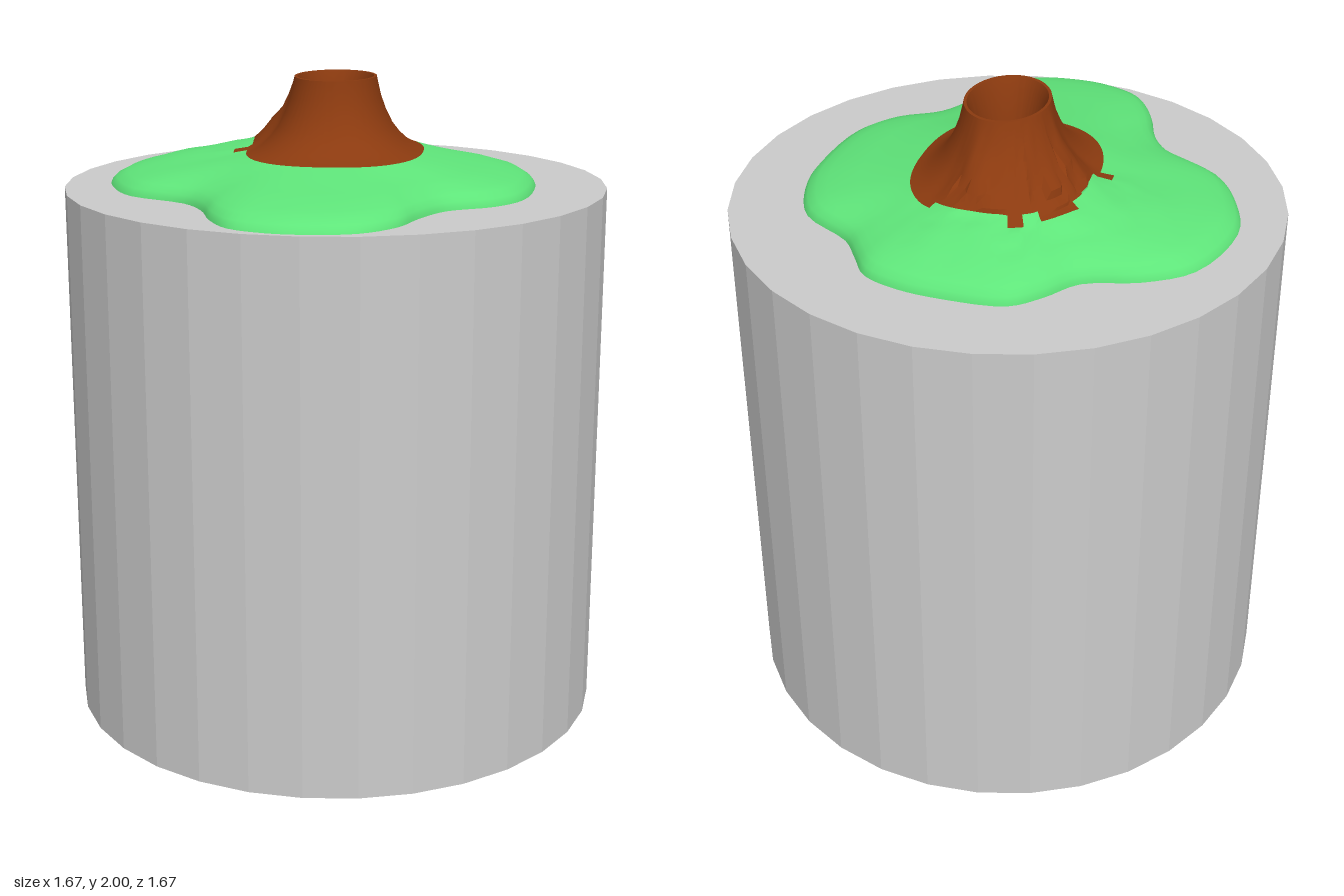
import * as THREE from 'three';
import { toCreasedNormals } from 'three/addons/utils/BufferGeometryUtils.js';

const TOP = 1.67, COLS = 112;

// Shoreline seen from above, as x, z pairs running from the front towards +x
const SHORE = [
  [0, 0.81], [0.15, 0.78], [0.25, 0.68], [0.3, 0.55], [0.37, 0.43], [0.5, 0.35], [0.58, 0.24],
  [0.615, 0], [0.6, -0.13], [0.53, -0.28], [0.37, -0.38], [0.31, -0.46], [0.25, -0.54], [0.14, -0.58],
  [0, -0.59], [-0.18, -0.57], [-0.26, -0.5], [-0.34, -0.4], [-0.5, -0.34], [-0.63, -0.24], [-0.7, 0],
  [-0.66, 0.17], [-0.58, 0.3], [-0.4, 0.4], [-0.33, 0.5], [-0.28, 0.64], [-0.21, 0.75], [-0.1, 0.8],
];
// Slope from shore (0) to the foot of the cone (1): fraction, height
const SLOPE = [[0, TOP], [0.012, 1.68], [0.04, 1.692], [0.12, 1.709], [0.22, 1.718], [0.35, 1.73],
  [0.5, 1.739], [0.65, 1.748], [0.78, 1.757], [0.9, 1.765], [1, 1.772]];
// Cone from its foot (0) to the rim (1)
const CONE = [[0.15, 1.781], [0.32, 1.797], [0.5, 1.822], [0.66, 1.853], [0.8, 1.895], [0.91, 1.94], [0.98, 1.985], [1, 2]];
// Crater wall: scale of the rim, height
const CRATER = [[0.93, 2], [0.84, 1.97], [0.72, 1.9], [0.61, 1.82], [0.58, 1.76], [0.58, TOP]];

// Small seeded noise from 0 to 1
function noise(a, b) {
  const s = Math.sin(a * 12.9898 + b * 78.233) * 43758.5453;
  return s - Math.floor(s);
}

// Radius of a rounded oval in the direction (x, z)
function oval(x, z, a, b, power) {
  return Math.pow(Math.pow(Math.abs(x) / a, power) + Math.pow(Math.abs(z) / b, power), -1 / power);
}

// How rocky the ground is in a direction: strongest at the back and the right
function rockiness(x, z) {
  return THREE.MathUtils.smoothstep(-0.72 * z - 0.55 * x, 0.3, 0.75);
}

// Rings of points from the shore up to the rim and down into the crater
function buildRings() {
  const curve = new THREE.CatmullRomCurve3(SHORE.map(([x, z]) => new THREE.Vector3(x, 0, z)), true);
  const rings = Array.from({ length: SLOPE.length + CONE.length + CRATER.length }, () => []);
  for (let c = 0; c < COLS; c++) {
    const p = curve.getPoint(c / COLS);
    const shore = p.length(), x = p.x / shore, z = p.z / shore;
    const foot = oval(x, z, 0.27, 0.33, 2.4), rim = oval(x, z, 0.125, 0.155, 2);
    const rock = rockiness(x, z), chunk = Math.floor(c / 3);
    let row = 0;
    const add = (r, y) => rings[row++].push(new THREE.Vector3(x * r, y, z * r));
    SLOPE.forEach(([t, y], i) => {
      const lift = rock * t * (0.018 + (i > 4 ? 0.012 * (noise(chunk, i) - 0.5) : 0));
      add(THREE.MathUtils.lerp(shore, foot, t), y + lift);
    });
    CONE.forEach(([t, y], i) => {
      const bulge = rock * Math.sin(Math.PI * t) * (0.035 + 0.03 * (noise(chunk, i + 20) - 0.5));
      add(THREE.MathUtils.lerp(foot, rim, t) + bulge, y + rock * 0.018 * (1 - t));
    });
    CRATER.forEach(([s, y]) => add(rim * s, y));
  }
  return rings;
}

// Surface made from the quads of the rings that pass the test
function surface(rings, name, color, test) {
  const pos = [];
  for (let r = 0; r < rings.length - 1; r++) {
    for (let c = 0; c < COLS; c++) {
      if (!test(r, c)) continue;
      const n = (c + 1) % COLS;
      const a = rings[r][c], b = rings[r][n], d = rings[r + 1][n], e = rings[r + 1][c];
      for (const v of [a, b, d, a, d, e]) pos.push(v.x, v.y, v.z);
    }
  }
  const geo = new THREE.BufferGeometry();
  geo.setAttribute('position', new THREE.Float32BufferAttribute(pos, 3));
  const mesh = new THREE.Mesh(toCreasedNormals(geo, 0.6),
    new THREE.MeshStandardMaterial({ color, side: THREE.DoubleSide }));
  mesh.name = name;
  return mesh;
}

export function createModel() {
  const group = new THREE.Group();
  group.name = 'volcanoIsland';

  // Faceted round pedestal
  const pedestal = new THREE.Mesh(new THREE.CylinderGeometry(0.833, 0.833, TOP, 32),
    new THREE.MeshStandardMaterial({ color: 0xcccccc, flatShading: true }));
  pedestal.position.y = TOP / 2;
  pedestal.name = 'pedestal';
  group.add(pedestal);

  // Grass and bare rock share one terrain; their border is ragged on the rocky side
  const rings = buildRings();
  const border = rings[0].map((p, c) => {
    const len = Math.hypot(p.x, p.z), rock = rockiness(p.x / len, p.z / len);
    return SLOPE.length - 1 + (rock > 0.15 ? Math.floor(noise(Math.floor(c / 3), 7) * 3) - 1 : 0);
  });
  group.add(surface(rings, 'grassSlope', 0x5fe57a, (r, c) => r < border[c]));
  group.add(surface(rings, 'volcanoCone', 0x8b3a0f, (r, c) => r >= border[c]));
  return group;
}
